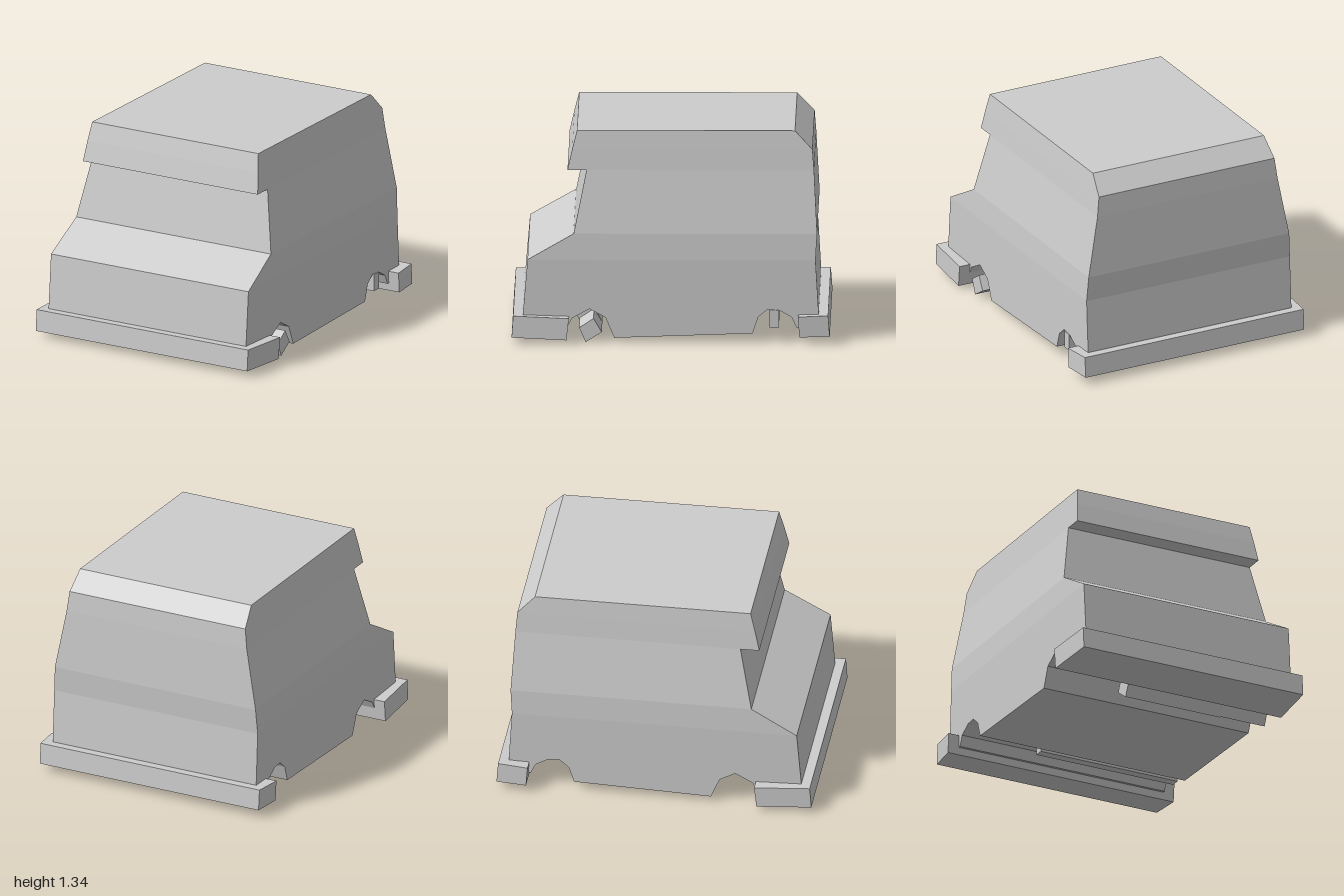
import * as THREE from 'three';

const bodyGrey = new THREE.MeshStandardMaterial({ color: 0xcccccc });
bodyGrey.name = 'bodyGrey';

// Side profile of [z, y] points extruded across the width from x0 to x1.
// widthAt(z) optionally scales x to taper the part in plan.
function prism(name, profile, x0, x1, widthAt) {
  const shape = new THREE.Shape(profile.map(([z, y]) => new THREE.Vector2(z, y)));
  const geo = new THREE.ExtrudeGeometry(shape, { depth: x1 - x0, bevelEnabled: false });
  geo.rotateY(-Math.PI / 2).translate(x1, 0, 0);
  if (widthAt) {
    const p = geo.attributes.position;
    for (let i = 0; i < p.count; i++) p.setX(i, p.getX(i) * widthAt(p.getZ(i)));
    geo.computeVertexNormals();
  }
  const mesh = new THREE.Mesh(geo, bodyGrey);
  mesh.name = name;
  return mesh;
}

// Flat-faced stack of rectangles, each level [y, halfWidth, frontZ, backZ]
function loft(name, levels) {
  const rings = levels.map(([y, w, f, b]) => [[w, y, f], [w, y, b], [-w, y, b], [-w, y, f]]);
  const pos = [];
  const quad = (a, b, c, d) => pos.push(...a, ...b, ...c, ...a, ...c, ...d);
  for (let k = 0; k + 1 < rings.length; k++) {
    for (let i = 0; i < 4; i++) {
      const j = (i + 1) % 4;
      quad(rings[k][i], rings[k][j], rings[k + 1][j], rings[k + 1][i]);
    }
  }
  const bottom = rings[0], top = rings[rings.length - 1];
  quad(top[0], top[1], top[2], top[3]);
  quad(bottom[3], bottom[2], bottom[1], bottom[0]);
  const geo = new THREE.BufferGeometry();
  geo.setAttribute('position', new THREE.Float32BufferAttribute(pos, 3));
  geo.computeVertexNormals();
  const mesh = new THREE.Mesh(geo, bodyGrey);
  mesh.name = name;
  return mesh;
}

export function createModel() {
  const van = new THREE.Group();
  van.name = 'van';

  // Lower body with the wheel arches cut right across the underside
  van.add(prism('lowerBody', [
    [0.90, 0.53], [-0.91, 0.53], [-0.93, 0.19], [-0.93, 0.1], [-0.79, 0.1],
    [-0.76, 0.165], [-0.68, 0.21], [-0.61, 0.215], [-0.55, 0.165], [-0.515, 0.06],
    [0.355, 0.03], [0.41, 0.16], [0.51, 0.215], [0.62, 0.155], [0.65, 0.1],
    [0.935, 0.1], [0.93, 0.17],
  ], -0.725, 0.725));

  // Sloping bonnet and cabin
  van.add(loft('cabin', [
    [0.53, 0.725, 0.90, -0.91],
    [0.695, 0.715, 0.61, -0.92],
    [1.088, 0.642, 0.53, -0.90],
  ]));

  // Roof overhanging the windscreen, chamfered at the back
  van.add(loft('roof', [
    [1.088, 0.642, 0.65, -0.90],
    [1.22, 0.626, 0.62, -0.89],
    [1.337, 0.61, 0.59, -0.78],
  ]));

  // Bumpers, slightly narrower at their outer edges
  van.add(prism('frontBumper',
    [[1.0, 0.04], [0.99, 0.178], [0.64, 0.167], [0.655, 0.028]],
    -0.8, 0.8, z => 1 - 0.083 * (z - 0.64)));
  van.add(prism('rearBumper',
    [[-0.8, 0.18], [-0.99, 0.185], [-1.0, 0.05], [-0.81, 0.05]],
    -0.8, 0.8, z => 1 - 0.13 * (-z - 0.8)));

  // Offset axle bars: front one tilted, rear one upright
  van.add(prism('frontAxle',
    [[0.605, 0.14], [0.50, 0.21], [0.433, 0.07], [0.535, 0]], -0.24, 0.43));
  van.add(prism('frontAxleEnd',
    [[0.575, 0.098], [0.485, 0.158], [0.433, 0.07], [0.535, 0.006]], 0.43, 0.745));
  van.add(prism('rearAxle',
    [[-0.62, 0.1], [-0.62, 0.213], [-0.68, 0.208], [-0.68, 0.1]], -0.24, 0.728));

  return van;
}
